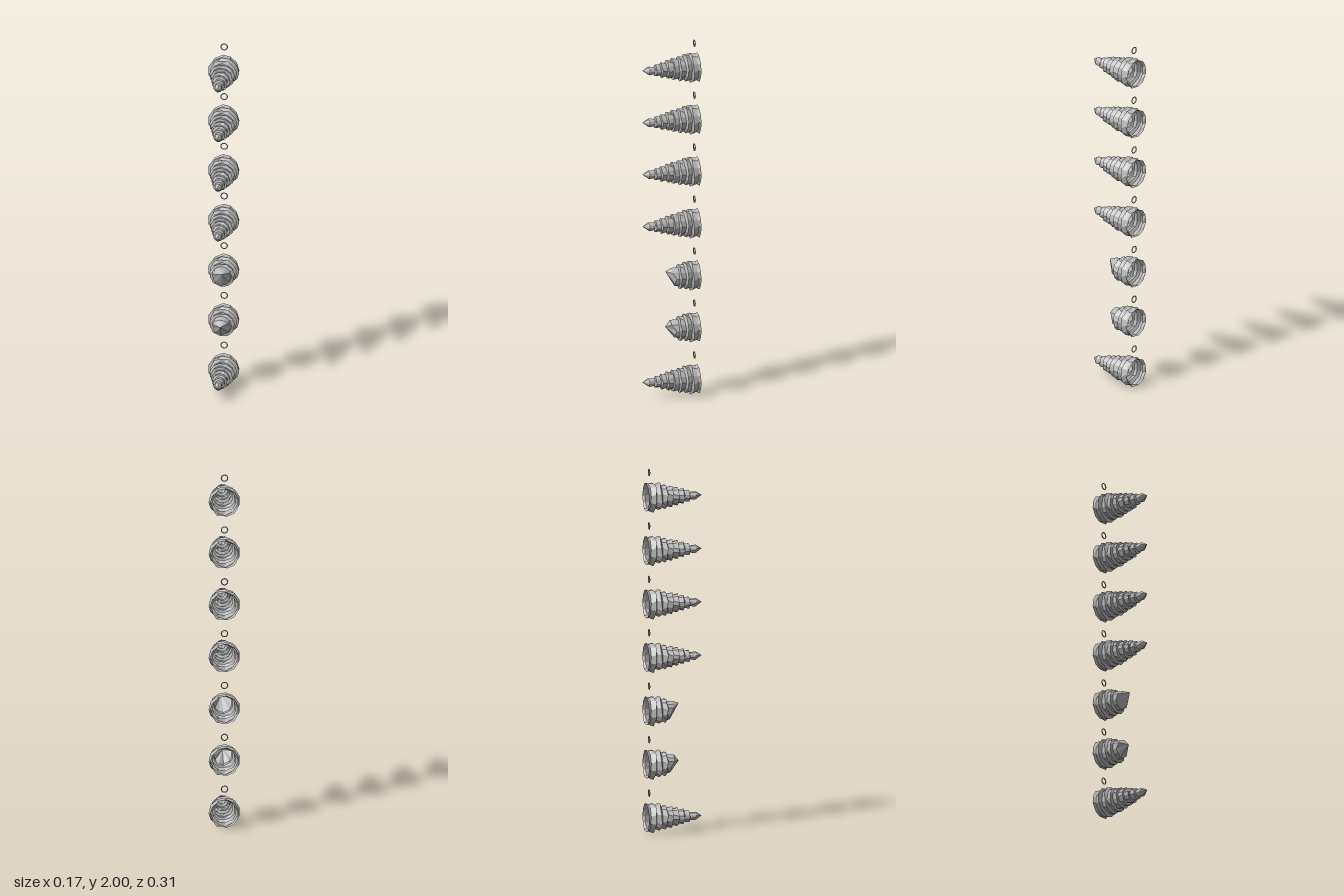
import * as THREE from 'three';

const SIDES = 11;

// Tier outline as [z, radius]: every tier flares toward the tip, then steps in.
const PROFILE = [
  [-0.155, 0.079], [-0.141, 0.072], [-0.114, 0.083],
  [-0.108, 0.065], [-0.081, 0.076],
  [-0.075, 0.061], [-0.047, 0.068],
  [-0.042, 0.052], [-0.013, 0.059],
  [-0.009, 0.045], [0.02, 0.051],
  [0.024, 0.037], [0.052, 0.043],
  [0.056, 0.029], [0.084, 0.032],
  [0.088, 0.020], [0.121, 0.023],
];

function seeded(seed) {
  return () => {
    seed = (seed * 16807) % 2147483647;
    return (seed / 2147483647) * 2 - 1;
  };
}

// Uneven rings of points following the tier outline.
function makeRings(count) {
  const rand = seeded(4217);
  return PROFILE.slice(0, count).map(([z, r], i) =>
    Array.from({ length: SIDES }, (_, j) => {
      const a = ((j + 0.22 * rand()) / SIDES) * Math.PI * 2;
      const radius = r * (1 + 0.055 * rand());
      const dz = i === 0 ? 0 : 0.004 * rand();
      return [Math.cos(a) * radius, Math.sin(a) * radius, z + dz];
    }));
}

// Skin the rings, open at the back and closed to one point at the front.
function skin(rings, tip) {
  const index = [];
  const last = (rings.length - 1) * SIDES;
  const apex = rings.length * SIDES;
  for (let j = 0; j < SIDES; j++) {
    const k = (j + 1) % SIDES;
    for (let i = 0; i < rings.length - 1; i++) {
      const a = i * SIDES, b = a + SIDES;
      index.push(a + j, a + k, b + k, a + j, b + k, b + j);
    }
    index.push(last + j, last + k, apex);
  }
  const g = new THREE.BufferGeometry();
  g.setAttribute('position', new THREE.Float32BufferAttribute([...rings.flat(), tip].flat(), 3));
  g.setIndex(index);
  g.computeVertexNormals();
  return g;
}

function wholeSpike() {
  return skin(makeRings(PROFILE.length), [-0.004, 0.002, 0.155]);
}

// Snapped spike: a slanted, jagged break edge around a broken face.
function brokenSpike(seed, shrink, tip) {
  const rand = seeded(seed);
  const rings = makeRings(8);
  const edge = rings[7].map(([x, y]) => [
    x * shrink, y * shrink,
    -0.016 + 0.25 * y + 0.009 * rand(),
  ]);
  return skin([...rings, edge], tip);
}

export function createModel() {
  const grey = new THREE.MeshStandardMaterial({ color: 0xb8b8b8, side: THREE.DoubleSide, flatShading: true });
  grey.name = 'stone grey';
  const model = new THREE.Group();
  model.name = 'spikeColumn';

  const whole = wholeSpike();
  const blunt = brokenSpike(91, 0.93, [0, 0.015, 0.028]);
  const shard = brokenSpike(537, 0.95, [0.008, 0.036, 0.03]);
  const loop = new THREE.TorusGeometry(0.0175, 0.003, 6, 18);

  for (let i = 0; i < 7; i++) {
    const y = 0.085 + i * 0.2933;
    const broken = i === 1 || i === 2;
    const spike = new THREE.Mesh(i === 1 ? blunt : i === 2 ? shard : whole, grey);
    spike.name = (broken ? 'brokenSpike' : 'spike') + (i + 1);
    spike.position.y = y;
    model.add(spike);

    // Small loop above each spike
    const ring = new THREE.Mesh(loop, grey);
    ring.name = 'ring' + (i + 1);
    ring.position.set(-0.001, y + 0.135, -0.137);
    model.add(ring);
  }
  return model;
}
